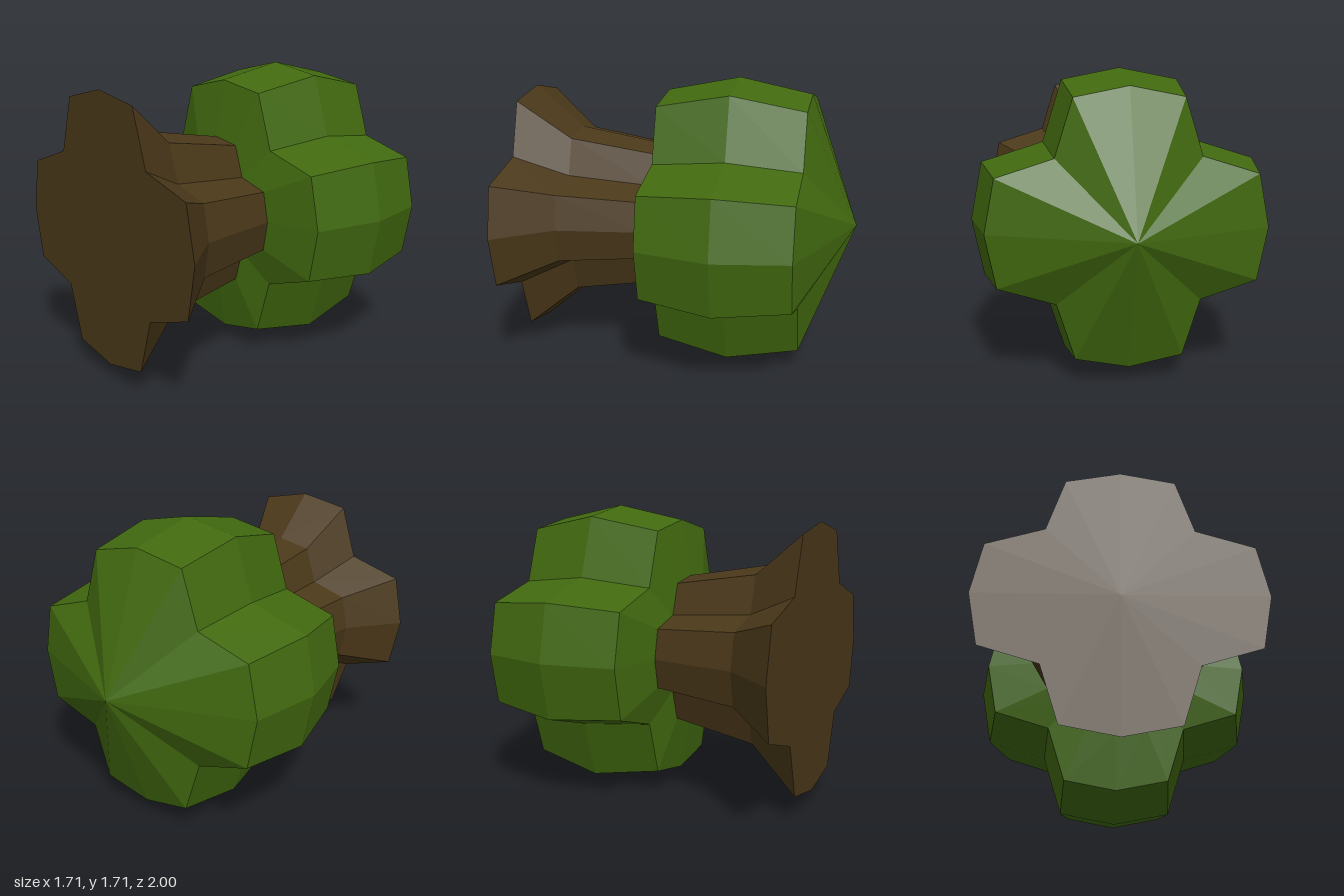
import * as THREE from 'three';

// One quarter of the four-lobed outline: tip, corner, notch, corner
const QUARTER = [[0.855, 0], [0.79, 0.33], [0.44, 0.44], [0.33, 0.79]];
const CENTRE_Y = 0.857;

// Full outline, counter-clockwise seen from the front
function lobedOutline() {
  const points = [];
  for (let q = 0; q < 4; q++) {
    for (const [x, y] of QUARTER) {
      points.push(new THREE.Vector2(x, y).rotateAround(new THREE.Vector2(), q * Math.PI / 2));
    }
  }
  return points;
}

// Loft the outline through [z, scale] stations, back to front; a scale of 0 makes a point
function loft(name, stations, color) {
  const outline = lobedOutline();
  const n = outline.length;
  const positions = [];
  const corner = ([z, s], j) => [outline[j % n].x * s, CENTRE_Y + outline[j % n].y * s, z];
  for (let i = 0; i < stations.length - 1; i++) {
    const back = stations[i], front = stations[i + 1];
    for (let j = 0; j < n; j++) {
      const a = corner(back, j), b = corner(back, j + 1);
      const c = corner(front, j + 1), d = corner(front, j);
      if (back[1] > 0) positions.push(...a, ...b, ...c);
      if (front[1] > 0) positions.push(...a, ...c, ...d);
    }
  }
  const geometry = new THREE.BufferGeometry();
  geometry.setAttribute('position', new THREE.Float32BufferAttribute(positions, 3));
  geometry.computeVertexNormals();
  const mesh = new THREE.Mesh(geometry, new THREE.MeshStandardMaterial({ color, flatShading: true }));
  mesh.name = name;
  return mesh;
}

export function createModel() {
  const group = new THREE.Group();
  group.name = 'lobedTree';

  // Crown: pointed at the back, widest in the middle, drawn in to the trunk
  group.add(loft('crown', [[-1, 0], [-0.71, 0.9], [-0.285, 1], [0.145, 0.9], [0.205, 0.515]], 0x41690f));

  // Trunk: flares towards the front and ends in a flat base
  group.add(loft('trunk', [[0.205, 0.515], [0.705, 0.61], [1, 0.9], [1, 0]], 0x4a3819));

  return group;
}
